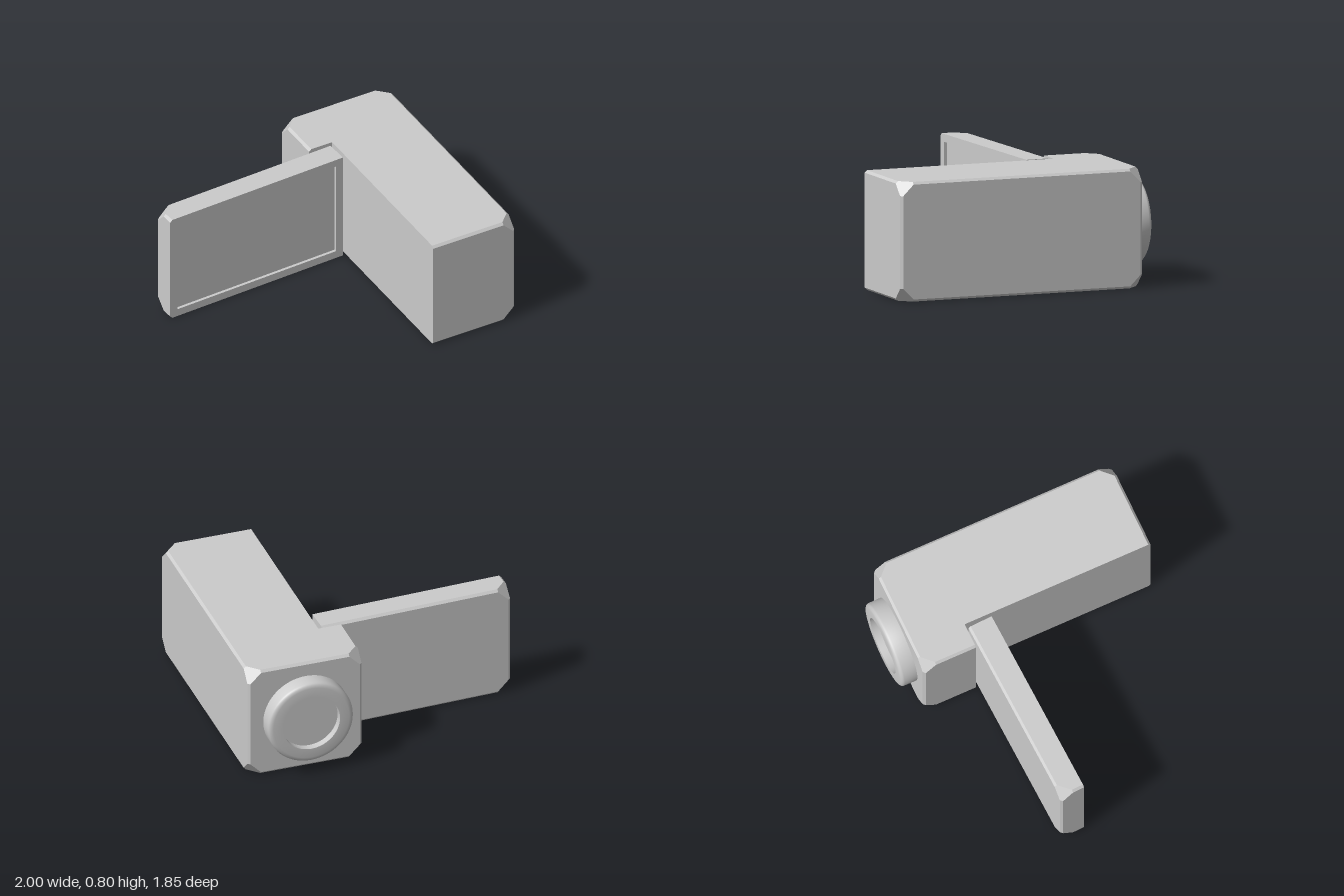
import * as THREE from 'three';
import { toCreasedNormals } from 'three/addons/utils/BufferGeometryUtils.js';
import { ConvexGeometry } from 'three/addons/geometries/ConvexGeometry.js';

const BEVEL = 0.016; // width of the edge bevels
const CORNER = 0.09; // reach of the corner cuts

// Box with bevelled edges and cut corners; faces listed in `plain` (e.g. '+z') stay sharp.
function bevelledBox(min, max, plain) {
  const points = [];
  for (const sx of [-1, 1]) for (const sy of [-1, 1]) for (const sz of [-1, 1]) {
    const s = [sx, sy, sz];
    const add = (offset) => points.push(new THREE.Vector3(
      ...s.map((d, i) => (d > 0 ? max[i] - offset[i] : min[i] + offset[i]))));
    const free = [0, 1, 2].filter((i) => !plain.includes((s[i] > 0 ? '+' : '-') + 'xyz'[i]));
    if (free.length === 3) {
      for (const i of free) for (const j of free) {
        if (i === j) continue;
        const o = [0, 0, 0];
        o[i] = BEVEL;
        o[j] = CORNER;
        add(o);
      }
    } else if (free.length === 2) {
      for (const i of free) {
        const o = [0, 0, 0];
        o[i] = BEVEL;
        add(o);
      }
    } else add([0, 0, 0]);
  }
  return new ConvexGeometry(points);
}

export function createModel() {
  const model = new THREE.Group();
  model.name = 'camcorder';
  const material = new THREE.MeshStandardMaterial({ color: 0xcccccc });
  const part = (name, geometry, parent = model) => {
    const mesh = new THREE.Mesh(geometry, material);
    mesh.name = name;
    parent.add(mesh);
    return mesh;
  };

  // Body: wide lens block, then a narrower block beside the screen
  part('lensBlock', bevelledBox([0.2, 0, -0.81], [1, 0.8, -0.43], ['+z']));
  part('mainBody', bevelledBox([0.375, 0, -0.43], [1, 0.8, 0.923], ['-z', '-x']));

  // Lens barrel with a rounded rim and a recessed glass
  const profile = [
    [0.298, 0], [0.298, 0.09], [0.294, 0.102], [0.283, 0.111], [0.265, 0.115],
    [0.2, 0.115], [0.2, 0.065], [0, 0.065],
  ].map(([r, h]) => new THREE.Vector2(r, h));
  const lens = part('lens', toCreasedNormals(new THREE.LatheGeometry(profile, 64), 0.6));
  lens.rotation.x = -Math.PI / 2;
  lens.position.set(0.596, 0.4, -0.81);

  // Fold-out screen, hinged at its right end and slightly turned
  const screen = new THREE.Group();
  screen.name = 'screen';
  screen.position.set(0.345, 0, -0.417);
  screen.rotation.y = 0.04;
  model.add(screen);
  const left = -1.345, thick = 0.172, recess = 0.02;
  part('screenPanel', bevelledBox([left, 0, 0], [0, 0.8, thick - recess], ['+z', '+x']), screen);

  // Raised frame around the display
  const outline = new THREE.Shape([
    [0, 0], [0, 0.8], [left + BEVEL, 0.8], [left, 0.8 - BEVEL], [left, BEVEL], [left + BEVEL, 0],
  ].map(([x, y]) => new THREE.Vector2(x, y)));
  outline.holes.push(new THREE.Path([
    [-1.29, 0.055], [-0.055, 0.055], [-0.055, 0.747], [-1.29, 0.747],
  ].map(([x, y]) => new THREE.Vector2(x, y))));
  const frame = part('screenFrame',
    new THREE.ExtrudeGeometry(outline, { depth: recess, bevelEnabled: false }), screen);
  frame.position.z = thick - recess;

  return model;
}
